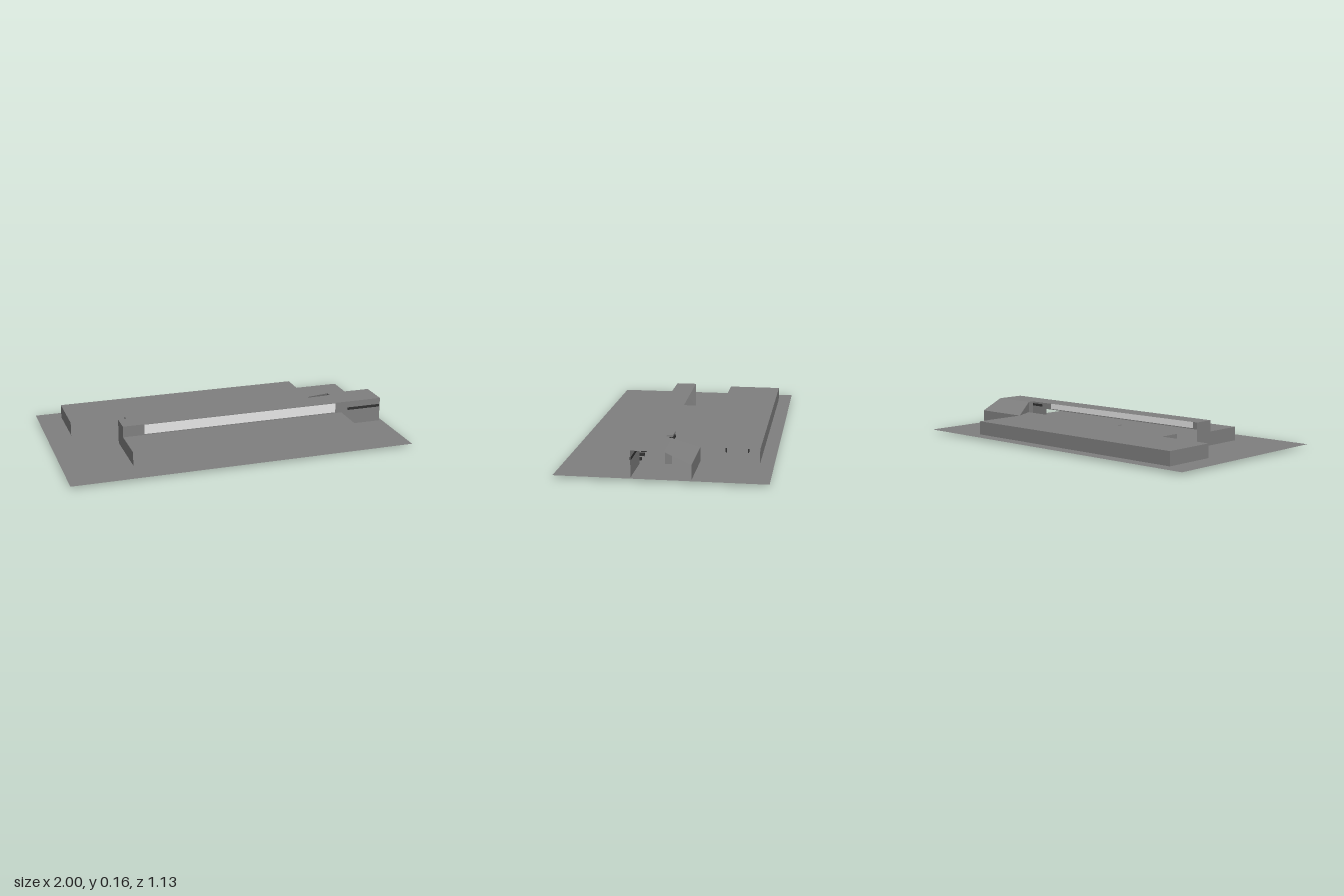
import * as THREE from 'three';

const GROUND = 0.015, LOW = 0.095, HIGH = 0.16;

export function createModel() {
  const root = new THREE.Group();
  root.name = 'hallComplex';
  const material = (name, color) => {
    const m = new THREE.MeshStandardMaterial({ color, side: THREE.DoubleSide });
    m.name = name;
    return m;
  };
  const concrete = material('concreteGrey', 0x808080);
  const glazing = material('paleGlazing', 0xf0f0f0);
  const dark = material('darkTrim', 0x303030);

  const add = (name, geometry, mat = concrete) => {
    const mesh = new THREE.Mesh(geometry, mat);
    mesh.name = name;
    root.add(mesh);
    return mesh;
  };

  // Flat polygon through 3D corners, counter-clockwise seen from outside
  const face = (name, corners, mat) => {
    const g = new THREE.BufferGeometry();
    g.setAttribute('position', new THREE.Float32BufferAttribute(corners.flat(), 3));
    g.setIndex(corners.length === 4 ? [0, 1, 2, 0, 2, 3] : [0, 1, 2]);
    g.computeVertexNormals();
    return add(name, g, mat);
  };

  // Upright sheet between two plan points
  const wall = (name, [x1, z1], [x2, z2], y0, y1, mat) =>
    face(name, [[x1, y0, z1], [x2, y0, z2], [x2, y1, z2], [x1, y1, z1]], mat);

  // Level sheet with an outline of [x, z] points
  const slab = (name, y, outline) => {
    const shape = new THREE.Shape(outline.map(([x, z]) => new THREE.Vector2(x, -z)));
    return add(name, new THREE.ShapeGeometry(shape).rotateX(-Math.PI / 2).translate(0, y, 0));
  };

  const box = (name, x0, x1, y0, y1, z0, z1, mat) =>
    add(name, new THREE.BoxGeometry(x1 - x0, y1 - y0, z1 - z0)
      .translate((x0 + x1) / 2, (y0 + y1) / 2, (z0 + z1) / 2), mat);

  // Ground sheet
  slab('ground', GROUND, [[-1, 0.565], [1, 0.565], [1, -0.565], [-1, -0.565]]);

  // Roofs either side of the tapering passage
  slab('backRoof', LOW, [[-0.855, -0.487], [0.64, -0.487], [0.64, -0.163], [0.71, -0.023],
    [-0.53, -0.04], [-0.53, -0.167], [-0.855, -0.167]]);
  slab('frontLowRoof', LOW, [[-0.615, 0.155], [-0.615, 0.39], [0.73, 0.39], [0.73, 0.155]]);
  slab('frontHighRoof', HIGH, [[-0.615, 0.035], [-0.615, 0.155], [0.982, 0.155], [0.982, -0.02],
    [0.7, -0.02], [0.712, -0.012], [0.712, 0.01], [0.69, 0.016]]);

  // Sloping roof at the east end, with its triangular cheek
  face('slopingRoof', [[0.64, LOW, -0.163], [0.71, HIGH, -0.02], [0.982, HIGH, -0.02], [0.982, LOW, -0.163]]);
  face('slopeCheek', [[0.64, LOW, -0.163], [0.71, LOW, -0.02], [0.71, HIGH, -0.02]]);

  // Back and west walls; the other sides of the halls are open
  wall('backWall', [0.64, -0.487], [-0.855, -0.487], GROUND, LOW);
  wall('backWestWall', [-0.855, -0.487], [-0.855, -0.167], GROUND, LOW);
  wall('innerWestWall', [-0.53, -0.167], [-0.53, -0.04], GROUND, LOW);
  wall('eastBackWall', [0.982, -0.163], [0.64, -0.163], GROUND, LOW);
  wall('passageEndWall', [0.712, -0.02], [0.712, 0.018], GROUND, HIGH);
  wall('highWestWall', [-0.615, 0.035], [-0.615, 0.155], GROUND, HIGH);
  wall('lowWestWall', [-0.615, 0.155], [-0.615, 0.39], GROUND, LOW);

  // Front wall of the high hall with its long clerestory
  wall('clerestoryWestEnd', [-0.615, 0.155], [-0.49, 0.155], LOW, HIGH);
  wall('clerestoryGlazing', [-0.49, 0.155], [0.69, 0.155], LOW + 0.005, HIGH - 0.003, glazing);
  wall('clerestorySill', [-0.49, 0.155], [0.69, 0.155], LOW, LOW + 0.005);
  wall('clerestoryHead', [-0.49, 0.155], [0.69, 0.155], HIGH - 0.003, HIGH);
  wall('clerestoryEastEnd', [0.69, 0.155], [0.73, 0.155], LOW, HIGH);
  wall('eastFrontWall', [0.73, 0.155], [0.982, 0.155], GROUND, HIGH);
  box('slitWindow', 0.77, 0.975, 0.107, 0.122, 0.153, 0.159, dark);

  // Service core and posts under the back roof
  box('serviceCore', -0.48, -0.285, 0.002, 0.087, -0.37, -0.285);
  for (const x of [-0.475, -0.25, -0.02, 0.21, 0.44])
    for (const z of [-0.407, -0.282])
      box('post', x - 0.003, x + 0.003, 0, 0.087, z - 0.003, z + 0.003, dark);
  box('ceilingBeam', -0.72, -0.49, 0.08, 0.09, -0.41, -0.4, dark);

  // Row of stalls and a raised counter inside the front hall
  for (let i = 0; i < 6; i++) {
    const x = 0.25 + i * 0.082;
    box('stall', x - 0.009, x + 0.009, GROUND, 0.03, 0.155, 0.19, dark);
  }
  box('counterTop', 0.15, 0.235, 0.034, 0.044, 0.05, 0.24);
  for (const z of [0.06, 0.17])
    box('counterLeg', 0.17, 0.215, GROUND, 0.034, z - 0.015, z + 0.015, dark);
  return root;
}
